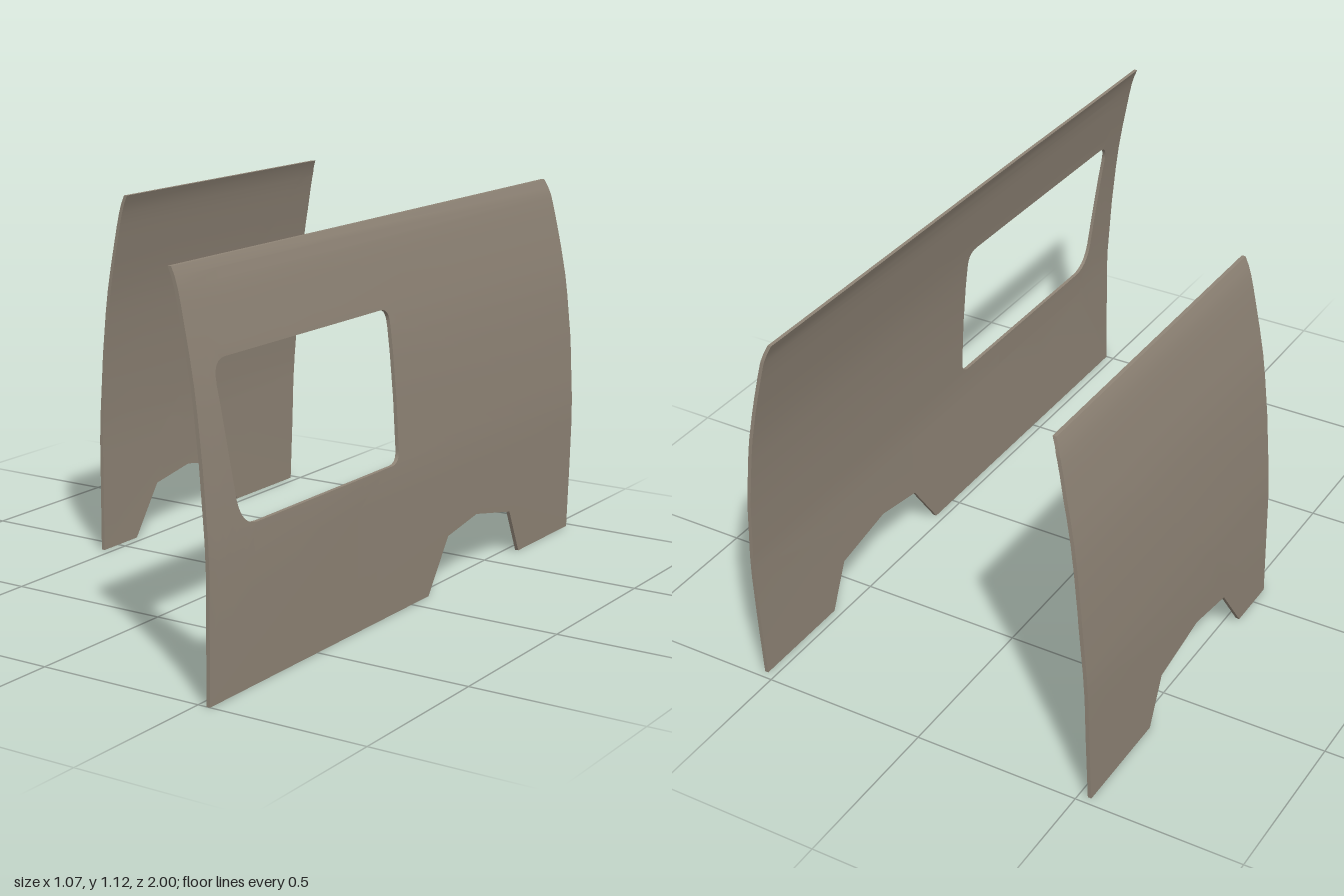
import * as THREE from 'three';
import { toCreasedNormals } from 'three/addons/utils/BufferGeometryUtils.js';

const THICK = 0.011;
// Outer face of the body side: [height, distance from the centre line]
const PROFILE = [[0, 0.537], [0.35, 0.537], [0.43, 0.534], [0.53, 0.527], [0.62, 0.521], [0.75, 0.508],
  [0.82, 0.499], [0.9, 0.485], [0.98, 0.469], [1.02, 0.461], [1.06, 0.452], [1.09, 0.443], [1.115, 0.432]];
const TOP = 1.115;

function halfWidth(y) {
  for (let i = 1; i < PROFILE.length; i++) {
    const [y0, w0] = PROFILE[i - 1], [y1, w1] = PROFILE[i];
    if (y <= y1 + 1e-6) return w0 + (w1 - w0) * (y - y0) / (y1 - y0);
  }
  return PROFILE[PROFILE.length - 1][1];
}

// Gentle inward sweep toward the front end
function sweep(y, z) {
  const along = THREE.MathUtils.smoothstep(z, 0.1, 1);
  return 0.005 * along * THREE.MathUtils.smoothstep(y, 0.35, 0.85);
}

// Split every triangle along a plane on one axis (0 = x, 1 = y)
function splitTriangles(tris, axis, level) {
  const out = [];
  for (const tri of tris) {
    for (const side of [1, -1]) {
      const poly = [];
      tri.forEach((a, i) => {
        const b = tri[(i + 1) % 3];
        const da = side * (a[axis] - level), db = side * (b[axis] - level);
        if (da >= -1e-7) poly.push(a);
        if ((da > 1e-7 && db < -1e-7) || (da < -1e-7 && db > 1e-7)) {
          const t = da / (da - db);
          poly.push(a.map((v, k) => v + (b[k] - v) * t));
        }
      });
      const inside = poly.some(p => side * (p[axis] - level) > 1e-7);
      if (inside) for (let i = 2; i < poly.length; i++) out.push([poly[0], poly[i - 1], poly[i]]);
    }
  }
  return out;
}

// Side outline drawn with -z to the right and y up
function panelShape(frontZ) {
  const s = new THREE.Shape();
  s.moveTo(-frontZ, 0);
  // Wheel arch
  [[0.095, 0], [0.205, 0.155], [0.375, 0.182], [0.585, 0.14], [0.65, 0]].forEach(p => s.lineTo(...p));
  // Bowed rear edge
  [[0.978, 0], [0.988, 0.2], [0.995, 0.4], [0.999, 0.6], [0.993, 0.8], [0.985, 0.95], [0.975, 1.07], [0.962, TOP]]
    .forEach(p => s.lineTo(...p));
  s.lineTo(-frontZ, TOP);
  s.closePath();
  return s;
}

// Window opening with rounded corners and a raked front edge
function windowHole() {
  const h = new THREE.Path();
  h.moveTo(-0.115, 0.435);
  h.lineTo(-0.78, 0.435);
  h.quadraticCurveTo(-0.85, 0.435, -0.867, 0.51);
  h.lineTo(-0.885, 0.62);
  h.lineTo(-0.907, 0.81);
  h.quadraticCurveTo(-0.912, 0.873, -0.855, 0.873);
  h.lineTo(-0.115, 0.873);
  h.quadraticCurveTo(-0.076, 0.873, -0.076, 0.835);
  h.lineTo(-0.076, 0.475);
  h.quadraticCurveTo(-0.076, 0.435, -0.115, 0.435);
  return h;
}

// Thin plate cut into bands, then bent to the body profile
function bentPanel(shape, side) {
  let flat = new THREE.ExtrudeGeometry(shape, { depth: THICK, bevelEnabled: false, curveSegments: 6 });
  if (flat.index) flat = flat.toNonIndexed();
  const p = flat.attributes.position;
  let tris = [];
  for (let i = 0; i < p.count; i += 3) {
    tris.push([0, 1, 2].map(k => [p.getX(i + k), p.getY(i + k), p.getZ(i + k)]));
  }
  PROFILE.slice(1, -1).forEach(([y]) => { tris = splitTriangles(tris, 1, y); });
  [-0.8, -0.55, -0.3].forEach(u => { tris = splitTriangles(tris, 0, u); });

  const pos = [];
  for (const [u, y, w] of tris.flat()) {
    const outer = halfWidth(y) - sweep(y, -u);
    pos.push(side > 0 ? outer - THICK + w : -outer + w, y, -u);
  }
  const geo = new THREE.BufferGeometry();
  geo.setAttribute('position', new THREE.Float32BufferAttribute(pos, 3));
  return toCreasedNormals(geo, 0.6);
}

export function createModel() {
  const group = new THREE.Group();
  group.name = 'bodySidePanels';
  const paint = new THREE.MeshStandardMaterial({ color: 0x8f8476 });
  paint.name = 'taupe paint';

  // Long left side with a window
  const leftShape = panelShape(1);
  leftShape.holes.push(windowHole());
  const left = new THREE.Mesh(bentPanel(leftShape, 1), paint);
  left.name = 'leftSidePanel';

  // Short right side, open ahead of the doorway
  const right = new THREE.Mesh(bentPanel(panelShape(0.07), -1), paint);
  right.name = 'rightSidePanel';

  group.add(left, right);
  return group;
}
